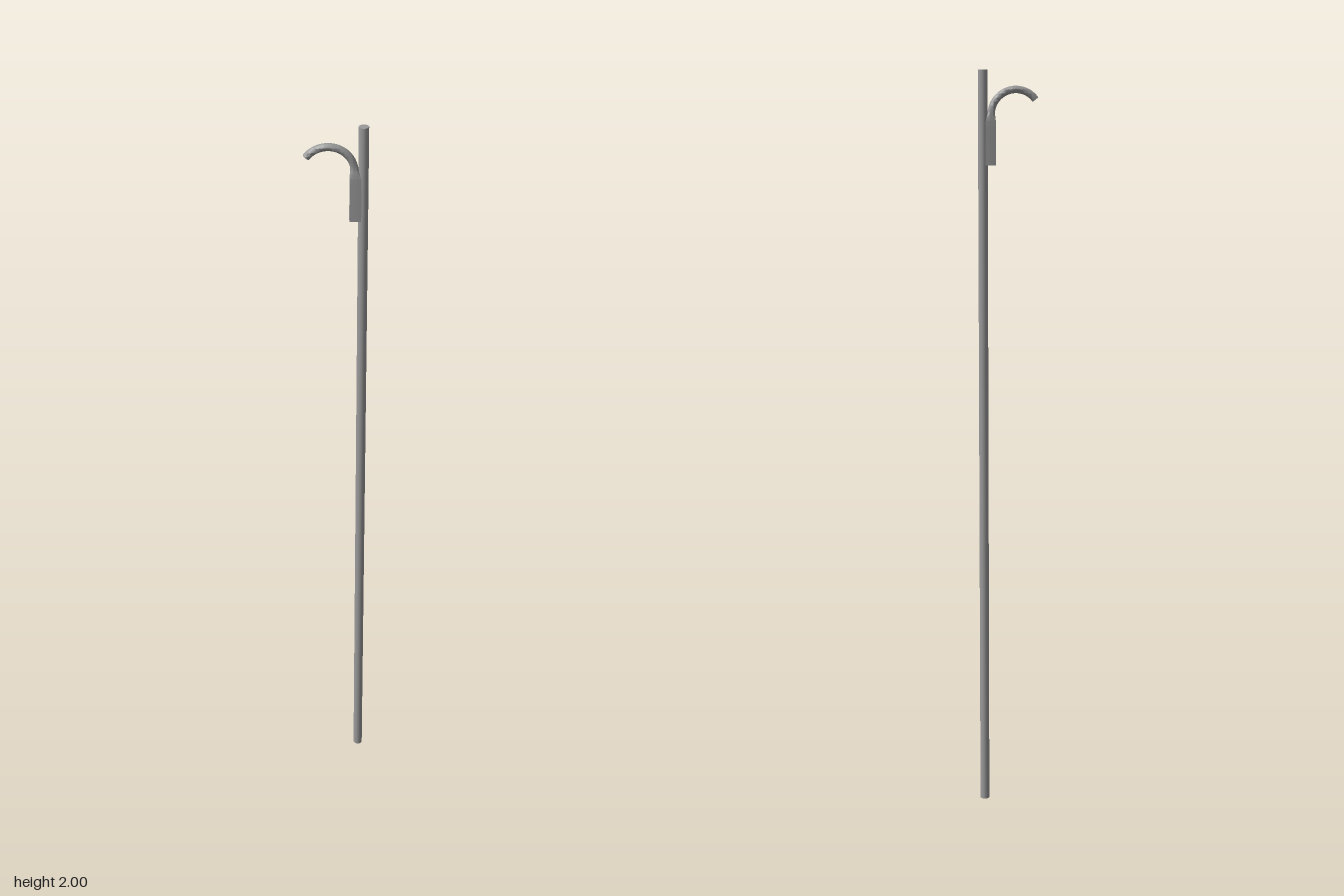
import * as THREE from 'three';
import { toCreasedNormals } from 'three/addons/utils/BufferGeometryUtils.js';

export function createModel() {
  const group = new THREE.Group();
  const material = new THREE.MeshStandardMaterial({ color: 0x9a9a9a });
  const add = (name, geometry) => {
    const mesh = new THREE.Mesh(geometry, material);
    mesh.name = name;
    group.add(mesh);
  };

  // long straight pole
  add('pole', new THREE.CylinderGeometry(0.0125, 0.0125, 2, 32).translate(0.0665, 1, 0));

  // hook path: straight shank beside the pole, then an arc over to the tip
  const radius = 0.065, cx = -0.02, cy = 1.885, shankX = cx + radius;
  const points = [1.753, 1.79, 1.83, 1.86].map((y) => new THREE.Vector3(shankX, y, 0));
  for (let i = 0; i <= 12; i++) {
    const a = (Math.PI * 0.81 * i) / 12;
    points.push(new THREE.Vector3(cx + radius * Math.cos(a), cy + radius * Math.sin(a), 0));
  }
  const path = new THREE.CatmullRomCurve3(points);
  const steps = 72, sides = 24, r = 0.0095;
  const hook = new THREE.TubeGeometry(path, steps, r, sides);
  const pos = hook.attributes.position;

  // the shank widens smoothly into a squarish block that meets the pole
  for (let i = 0; i < pos.count; i++) {
    const x = pos.getX(i), y = pos.getY(i), z = pos.getZ(i);
    if (x < 0.025) continue;
    const k = 1 - THREE.MathUtils.smoothstep(y, 1.865, 1.9);
    const u = x - shankX;
    const square = THREE.MathUtils.lerp(1, r / Math.max(Math.abs(u), Math.abs(z), r * 0.7), 0.85 * k);
    pos.setX(i, shankX + 0.003 * k + u * square * (1 + 0.6 * k));
    pos.setZ(i, z * square * (1 + 0.25 * k));
  }

  // draw each end ring into a point to close the hook with flat ends
  for (const [ring, next] of [[0, 1], [steps, steps - 1]]) {
    const centre = path.getPointAt(next / steps);
    for (let j = 0; j <= sides; j++) {
      pos.setXYZ(ring * (sides + 1) + j, centre.x, centre.y, centre.z);
    }
  }
  add('hook', toCreasedNormals(hook, 0.7));

  return group;
}
